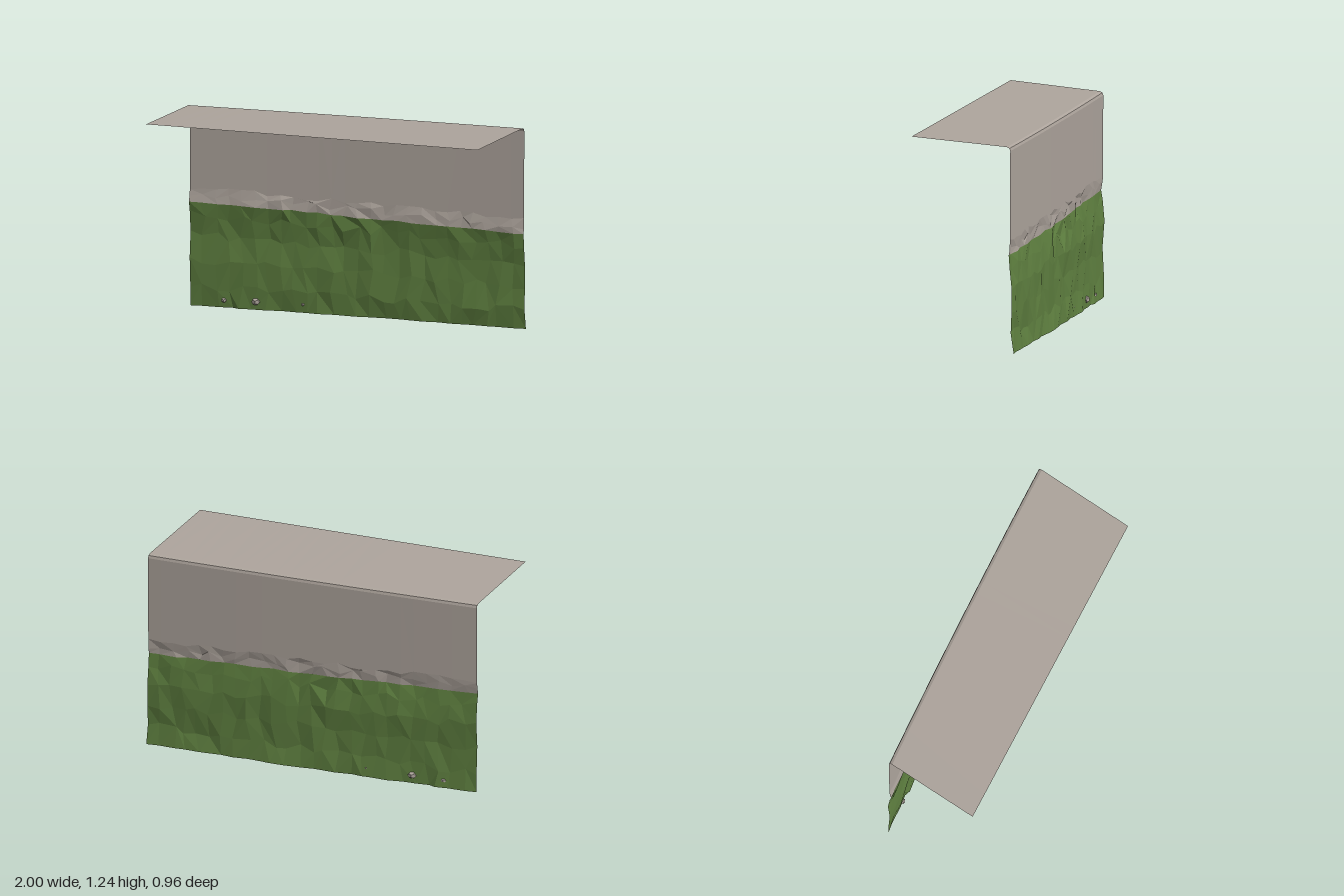
import * as THREE from 'three';

const stone = new THREE.MeshStandardMaterial({ color: 0xaea59d, side: THREE.DoubleSide });
stone.name = 'warm grey stone';
stone.flatShading = true;
const grass = new THREE.MeshStandardMaterial({ color: 0x5f8040, side: THREE.DoubleSide });
grass.name = 'grass green';
grass.flatShading = true;

// Repeatable noise in -1..1 for a grid point
function noise(i, j) {
  const s = Math.sin(i * 127.1 + j * 311.7 + 4.2) * 43758.5453;
  return (s - Math.floor(s)) * 2 - 1;
}

// Open sheet through rows of points, with alternating diagonals
function sheet(rows, material, name) {
  const cols = rows[0].length, index = [];
  for (let r = 0; r < rows.length - 1; r++) {
    for (let c = 0; c < cols - 1; c++) {
      const a = r * cols + c, b = a + 1, d = a + cols, e = d + 1;
      if (noise(r + 40, c) > 0) index.push(a, b, e, a, e, d);
      else index.push(a, b, d, b, e, d);
    }
  }
  const geometry = new THREE.BufferGeometry().setFromPoints(rows.flat());
  geometry.setIndex(index);
  const flat = geometry.toNonIndexed();
  flat.computeVertexNormals();
  const mesh = new THREE.Mesh(flat, material);
  mesh.name = name;
  return mesh;
}

// Slanted, slightly bowed line of the wall seen from above
const wallZ = x => -0.289 - 0.171 * x - 0.009 * (1 - x * x);
const grassTop = x => 0.607 - 0.028 * x;
const lerp = THREE.MathUtils.lerp;

const COLS = 26;
const columnX = (c, r, jitter) =>
  -1 + 2 * c / COLS + (c > 0 && c < COLS ? jitter * noise(c, r + 9) : 0);

function makeRow(r, jitter, place) {
  return Array.from({ length: COLS + 1 }, (_, c) => {
    const x = columnX(c, r, jitter);
    const [y, z] = place(x, c);
    return new THREE.Vector3(x, y, z);
  });
}

export function createModel() {
  const group = new THREE.Group();
  group.name = 'overhangingCliff';

  // Grass face: height fraction, then offset at the right end and the left end
  const profile = [
    [0, -0.005, -0.022], [0.2, -0.003, -0.002], [0.45, 0.005, -0.009],
    [0.68, -0.006, -0.01], [0.88, 0.006, 0.002], [1, 0.015, 0.009],
  ];
  const last = profile.length - 1;
  const grassRows = profile.map(([f, a, b], r) => makeRow(r, 0.022, (x, c) => {
    const inner = c > 0 && c < COLS ? 1 : 0.2;
    const wobble = r === 0 ? 0 : r === last ? 0.005 : 0.028;
    const z = wallZ(x) + lerp(a, b, (x + 1) / 2) + 0.009 * inner * noise(c + 3, r);
    return [f * grassTop(x) + wobble * noise(c, r), z];
  }));
  group.add(sheet(grassRows, grass, 'grassFace'));

  // Rough rock band sharing the top edge of the grass
  const bandRow = makeRow(6, 0.02, (x, c) =>
    [grassTop(x) + 0.045 + 0.02 * noise(c, 7), wallZ(x) + 0.008 + 0.007 * noise(c, 8)]);
  const bandTop = makeRow(7, 0, (x, c) =>
    [grassTop(x) + 0.085 + 0.018 * noise(c, 11), wallZ(x) + 0.002]);
  group.add(sheet([grassRows[last], bandRow, bandTop], stone, 'roughRockBand'));

  // Plain upper wall
  const wallY = x => 1.204 + 0.006 * (x + 1) / 2;
  const wallTop = makeRow(8, 0, x => [wallY(x) - 0.01, wallZ(x)]);
  group.add(sheet([bandTop, wallTop], stone, 'upperWall'));

  // Rounded bend and the thin overhanging roof
  const bendA = makeRow(8, 0, x => [wallY(x) + 0.006, wallZ(x) + 0.005]);
  const bendB = makeRow(8, 0, x => [wallY(x) + 0.013, wallZ(x) + 0.022]);
  const roofEdge = makeRow(8, 0, x => [1.24, 0.329 - 0.151 * x]);
  group.add(sheet([wallTop, bendA, bendB], stone, 'roofBend'));
  group.add(sheet([bendB, roofEdge], stone, 'overhangRoof'));

  // Pebbles set through the foot of the grass
  for (const [x, y, s] of [[-0.8, 0.045, 0.015], [-0.61, 0.05, 0.024], [-0.33, 0.052, 0.009]]) {
    const pebble = new THREE.Mesh(new THREE.DodecahedronGeometry(s), stone);
    pebble.position.set(x, y, wallZ(x) - 0.002);
    pebble.scale.set(1.15, 0.9, 0.85);
    pebble.rotation.y = 0.17;
    pebble.name = 'pebble';
    group.add(pebble);
  }
  return group;
}
